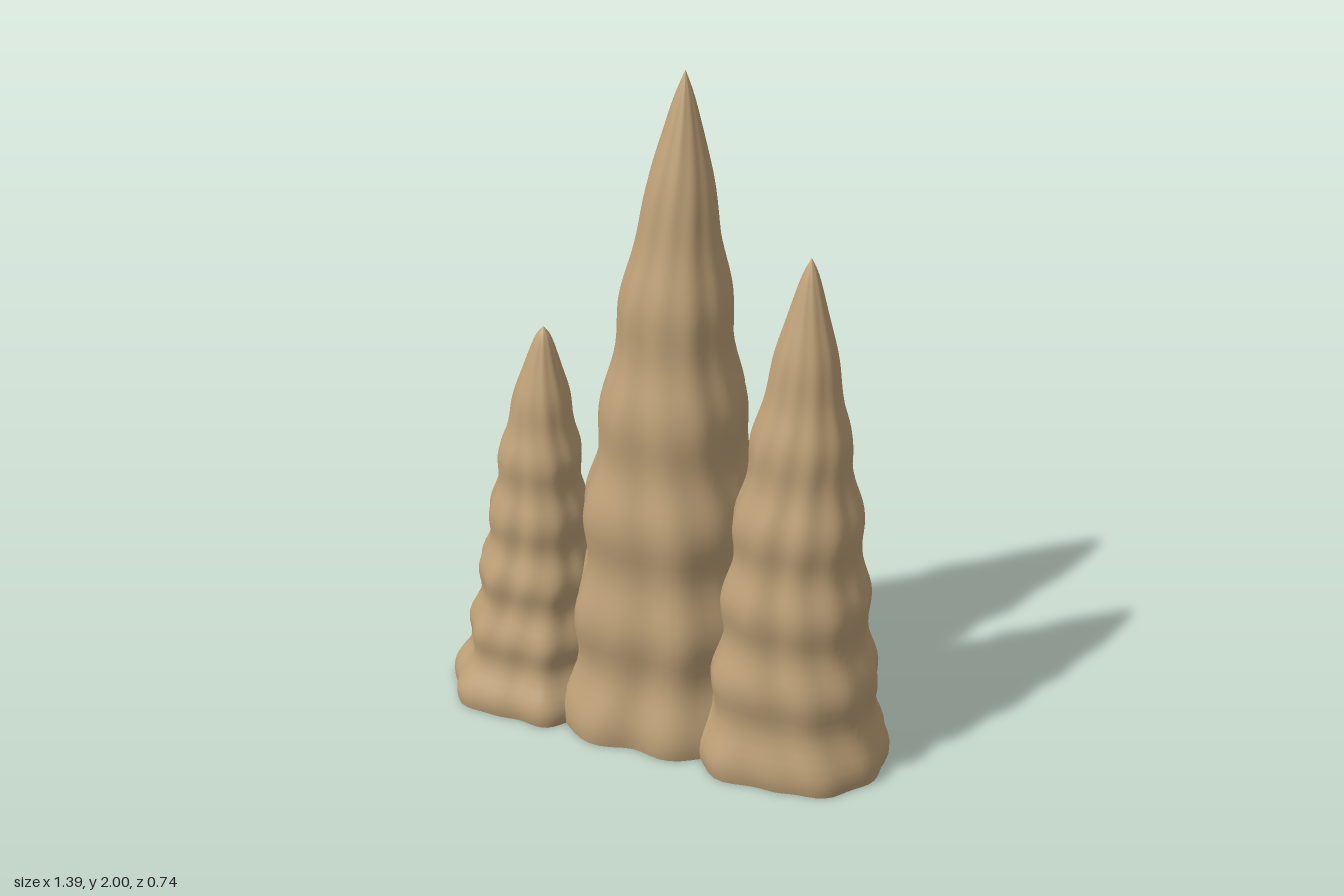
import * as THREE from 'three';

const SEGMENTS = 72;
const ROWS = 72;

// Smooth closed interpolation of the outline radii, as a factor around their mean
function outlineFactors(radii) {
  const mean = radii.reduce((sum, r) => sum + r, 0) / radii.length;
  const curve = new THREE.CatmullRomCurve3(
    radii.map((r, i) => new THREE.Vector3(r / mean, i, 0)), true);
  return Array.from({ length: SEGMENTS }, (_, j) => curve.getPoint(j / SEGMENTS).x);
}

// base, tip: axis ends (x, z). bow: forward bulge of the axis at mid height.
// outline: base radii every 30 degrees from +x towards +z. taper: [mean radius, height].
// period, depth: spacing and size of the swollen rings.
function spireGeometry({ base, tip, bow, outline, taper, period, depth, phase }) {
  const factors = outlineFactors(outline);
  const height = taper[taper.length - 1][1];
  const curve = new THREE.SplineCurve(taper.map(([r, y]) => new THREE.Vector2(r, y)));
  const positions = [];
  const indices = [];

  // Lobed rings stacked along a bowed axis
  for (let i = 0; i <= ROWS; i++) {
    const p = curve.getPoint(i / ROWS);
    const t = p.y / height;
    const cx = THREE.MathUtils.lerp(base[0], tip[0], t);
    const cz = THREE.MathUtils.lerp(base[1], tip[1], t) + bow * Math.sin(Math.PI * t);
    const swell = depth * Math.min(1, 3 * (1 - t)) * Math.cos(2 * Math.PI * (p.y - 0.05) / period);
    const mean = i === ROWS ? 0 : p.x * (1 + swell);
    for (let j = 0; j < SEGMENTS; j++) {
      const a = (j / SEGMENTS) * Math.PI * 2;
      const flutes = 0.02 * Math.sin(11 * a + phase + 2 * Math.sin(t * 7 + phase));
      const r = mean * (1 + (factors[j] - 1) * (1 - 0.8 * t) + flutes);
      positions.push(cx + r * Math.cos(a), p.y, cz + r * Math.sin(a));
    }
  }
  for (let i = 0; i < ROWS; i++) {
    for (let j = 0; j < SEGMENTS; j++) {
      const a = i * SEGMENTS + j;
      const b = i * SEGMENTS + (j + 1) % SEGMENTS;
      indices.push(a, a + SEGMENTS, b);
      if (i < ROWS - 1) indices.push(b, a + SEGMENTS, b + SEGMENTS);
    }
  }

  // Flat underside with its own vertices, so the bottom edge stays sharp
  const rim = positions.length / 3;
  positions.push(...positions.slice(0, SEGMENTS * 3), base[0], 0, base[1]);
  for (let j = 0; j < SEGMENTS; j++) {
    indices.push(rim + SEGMENTS, rim + j, rim + (j + 1) % SEGMENTS);
  }

  const geometry = new THREE.BufferGeometry();
  geometry.setAttribute('position', new THREE.Float32BufferAttribute(positions, 3));
  geometry.setIndex(indices);
  geometry.computeVertexNormals();
  return geometry;
}

export function createModel() {
  const group = new THREE.Group();
  group.name = 'stalagmites';
  const stone = new THREE.MeshStandardMaterial({ color: 0xbc9f76 });
  stone.name = 'sandstone';

  const addSpire = (name, options) => {
    const mesh = new THREE.Mesh(spireGeometry(options), stone);
    mesh.name = name;
    group.add(mesh);
  };

  // Tall middle spire
  addSpire('centreSpire', {
    base: [-0.008, 0], tip: [0.008, 0], bow: 0.042, period: 0.33, depth: 0.048, phase: 0,
    outline: [0.3, 0.32, 0.355, 0.33, 0.38, 0.34, 0.34, 0.355, 0.355, 0.36, 0.335, 0.305],
    taper: [[0.337, 0], [0.291, 0.35], [0.25, 0.75], [0.204, 1.05], [0.152, 1.38],
      [0.089, 1.7], [0.036, 1.9], [0, 2]],
  });

  // Medium spire
  addSpire('leftSpire', {
    base: [0.43, 0.08], tip: [0.418, 0.08], bow: 0.035, period: 0.25, depth: 0.05, phase: 2.1,
    outline: [0.26, 0.278, 0.28, 0.265, 0.318, 0.315, 0.26, 0.27, 0.32, 0.3, 0.24, 0.245],
    taper: [[0.274, 0], [0.231, 0.3], [0.199, 0.58], [0.175, 0.8], [0.132, 1.05],
      [0.082, 1.3], [0.03, 1.49], [0, 1.56]],
  });

  // Small spire
  addSpire('rightSpire', {
    base: [-0.42, 0.11], tip: [-0.392, 0.1], bow: 0.01, period: 0.19, depth: 0.055, phase: 4.2,
    outline: [0.24, 0.25, 0.27, 0.24, 0.28, 0.27, 0.282, 0.235, 0.26, 0.27, 0.255, 0.22],
    taper: [[0.25, 0], [0.202, 0.2], [0.17, 0.42], [0.144, 0.6], [0.118, 0.8],
      [0.077, 1], [0.028, 1.155], [0, 1.2]],
  });

  return group;
}
